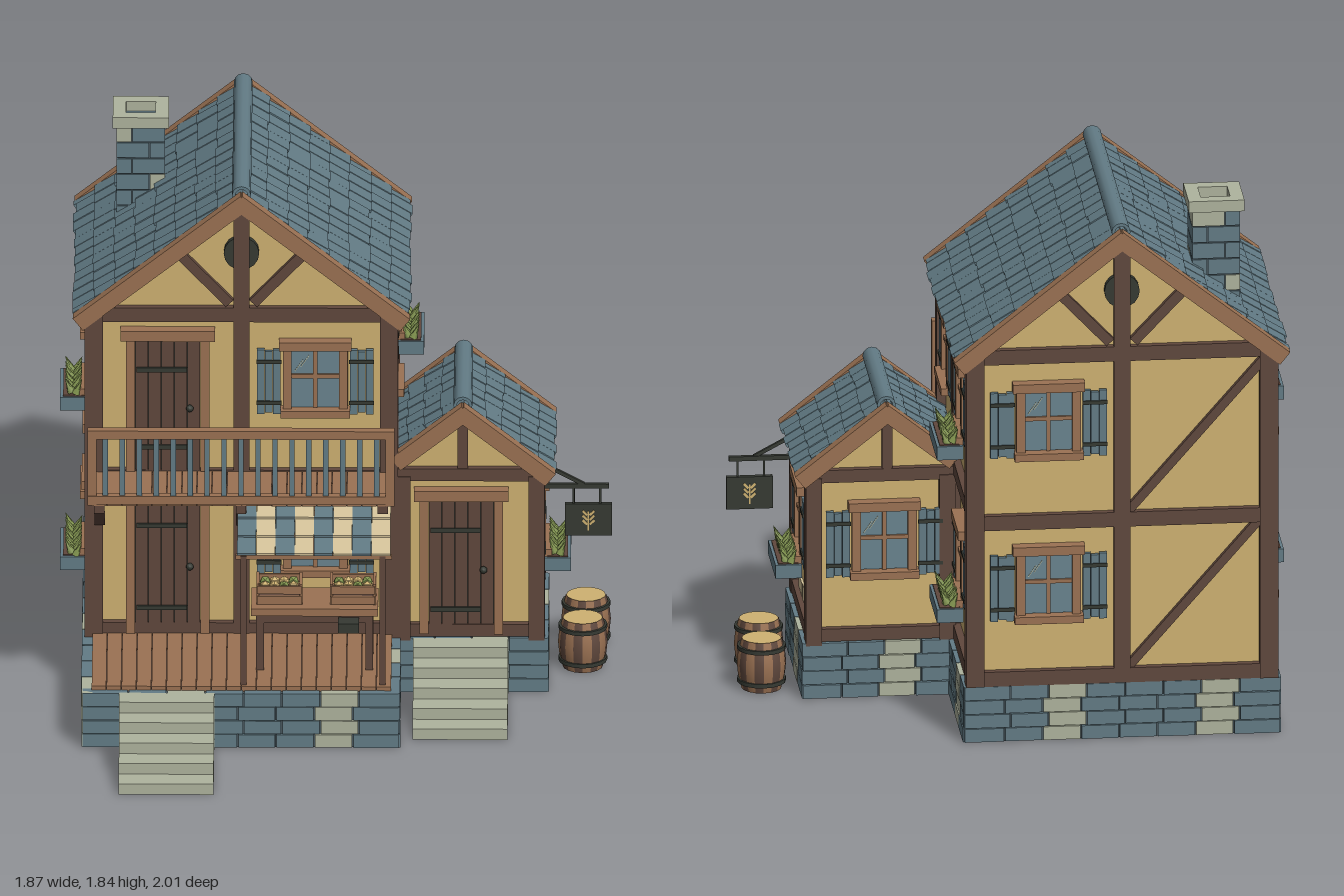
import * as THREE from 'three';
import { mergeGeometries } from 'three/addons/utils/BufferGeometryUtils.js';

const mat = (name, color, side = THREE.FrontSide) => {
  const m = new THREE.MeshStandardMaterial({ color, side });
  m.name = name;
  return m;
};

export function createModel() {
  const plaster = mat('plaster', 0xcfb272), timber = mat('darkTimber', 0x60483d), wood = mat('warmWood', 0x9b7253);
  const slate = mat('slate', 0x637c86, THREE.DoubleSide), pale = mat('paleStone', 0xafb49e), dark = mat('darkBase', 0x47555b);
  const iron = mat('iron', 0x363a33), green = mat('leaves', 0x82954f), cream = mat('cream', 0xd8c69c);
  const glass = mat('glass', 0x6a848f);
  const house = new THREE.Group();
  house.name = 'timberHouse';
  let seed = 7;
  const rnd = () => (seed = (seed * 16807) % 2147483647) / 2147483647;

  // Collects geometry by colour, then makes one merged mesh per colour in a named group
  function part(name, build, pos = [0, 0, 0], ry = 0) {
    const bins = new Map();
    const b = {
      add(m, geo, x = 0, y = 0, z = 0, rx = 0, ryy = 0, rz = 0) {
        const g = geo.index ? geo.toNonIndexed() : geo;
        g.applyMatrix4(new THREE.Matrix4().makeRotationFromEuler(new THREE.Euler(rx, ryy, rz)).setPosition(x, y, z));
        if (!bins.has(m)) bins.set(m, []);
        bins.get(m).push(g);
      },
      box(m, w, h, d, x, y, z, rx, ryy, rz) { b.add(m, new THREE.BoxGeometry(w, h, d), x, y, z, rx, ryy, rz); },
      // beam between two points of a plane at depth z
      beam(m, x0, y0, x1, y1, z, w, d) {
        b.box(m, Math.hypot(x1 - x0, y1 - y0), w, d, (x0 + x1) / 2, (y0 + y1) / 2, z, 0, 0, Math.atan2(y1 - y0, x1 - x0));
      },
    };
    build(b);
    const group = new THREE.Group();
    group.name = name;
    for (const [m, list] of bins) {
      const mesh = new THREE.Mesh(mergeGeometries(list), m);
      mesh.name = name + '_' + m.name;
      group.add(mesh);
    }
    group.position.set(...pos);
    group.rotation.y = ry;
    house.add(group);
  }

  // Stone foundation: dark core faced with four courses of blocks
  part('foundation', b => {
    b.box(dark, 1.055, 0.195, 1.55, -0.32, 0.0975, -0.2);
    b.box(dark, 0.5, 0.195, 0.55, 0.455, 0.0975, -0.2);
    const corners = [[-0.84, 0.565], [0.2, 0.565], [0.2, 0.07], [0.7, 0.07], [0.7, -0.47], [0.2, -0.47], [0.2, -0.965], [-0.84, -0.965]];
    corners.forEach(([x0, z0], i) => {
      const [x1, z1] = corners[(i + 1) % corners.length];
      const len = Math.hypot(x1 - x0, z1 - z0), n = Math.round(len / 0.135), ang = Math.atan2(-(z1 - z0), x1 - x0);
      for (let r = 0; r < 4; r++) {
        const edge = c => (c === 0 ? -0.018 : c === n ? len + 0.018 : c * len / n + (r % 2 - 0.5) * 0.02);
        for (let c = 0; c < n; c++) {
          const t = (edge(c) + edge(c + 1)) / 2 / len;
          b.box(c % 4 === 2 ? pale : slate, edge(c + 1) - edge(c) - 0.005, 0.047, 0.036 + rnd() * 0.008,
            x0 + (x1 - x0) * t, 0.025 + r * 0.05, z0 + (z1 - z0) * t, 0, ang, 0);
        }
      }
    });
  });

  // Two flights of stacked stone slabs
  for (const [x, z] of [[-0.57, 0.58], [0.423, 0.09]]) part('stoneSteps', b => {
    for (let i = 0; i < 5; i++) b.box(pale, 0.322, 0.039, 0.084 * (i + 1), x, 0.02 + 0.04 * (4 - i), z + 0.042 * (i + 1));
  });

  // Plank floors of the porch and the balcony
  const planks = (name, y, z0, z1, h) => part(name, b => {
    for (let i = 0; i < 20; i++) b.box(wood, 0.049, h, z1 - z0, -0.8 + i * 0.0508, y, (z0 + z1) / 2);
    b.box(timber, 1.0, h * 0.6, z1 - z0 - 0.02, -0.32, y - h * 0.3, (z0 + z1) / 2);
  });
  planks('porchDeck', 0.203, 0.06, 0.555, 0.02);
  planks('balconyFloor', 0.795, 0.06, 0.335, 0.024);

  // Plaster bodies with gabled ends
  function body(name, cx, half, shoulder, peak, z0, z1) {
    part(name, b => {
      const s = new THREE.Shape();
      [[-half, 0.19], [half, 0.19], [half, shoulder], [0, peak], [-half, shoulder]]
        .forEach(([x, y], i) => (i ? s.lineTo(cx + x, y) : s.moveTo(cx + x, y)));
      b.add(plaster, new THREE.ExtrudeGeometry(s, { depth: z1 - z0, bevelEnabled: false }), 0, 0, z0);
    });
  }
  body('mainWalls', -0.32, 0.5, 1.376, 1.772, -0.96, 0.06);
  body('annexWalls', 0.43, 0.25, 0.806, 1.004, -0.46, 0.06);

  // Timber framing
  part('mainFrame', b => {
    for (const z of [0.06, -0.96]) {
      for (const x of [-0.82, 0.18]) b.box(timber, 0.062, 1.18, 0.064, x, 0.79, z);
      b.box(timber, 0.055, 1.56, 0.056, -0.32, 0.98, z);
      for (const y of [0.225, 0.785, 1.38]) b.box(timber, 1.0, 0.052, 0.05, -0.32, y, z);
      for (const s of [-1, 1]) b.beam(timber, -0.32 + s * 0.21, 1.6, -0.32 + s * 0.04, 1.42, z, 0.035, 0.04);
      b.add(iron, new THREE.CylinderGeometry(0.06, 0.06, 0.046, 16), -0.32, 1.605, z, Math.PI / 2);
    }
    for (const x of [-0.82, 0.18]) {
      b.box(timber, 0.054, 1.16, 0.05, x, 0.78, -0.45);
      for (const y of [0.225, 0.815, 1.345]) b.box(timber, 0.05, 0.05, 1.0, x, y, -0.45);
    }
    for (const y of [0.25, 0.81]) b.beam(timber, -0.34, y, -0.8, y + 0.53, -0.965, 0.03, 0.03);
  });
  part('annexFrame', b => {
    for (const z of [0.06, -0.46]) {
      for (const x of [0.225, 0.68]) b.box(timber, 0.055, 0.6, 0.06, x, 0.49, z);
      for (const y of [0.225, 0.795]) b.box(timber, 0.49, 0.045, 0.05, 0.44, y, z);
      b.box(timber, 0.035, 0.18, 0.045, 0.43, 0.9, z);
    }
    for (const y of [0.225, 0.755]) b.box(timber, 0.05, 0.045, 0.5, 0.68, y, -0.2);
  });

  // Shingled roofs with sheathing, verge boards and a hollow ridge cap
  function roof(name, cx, peak, runs, a, z0, z1, rows, cols) {
    part(name, b => {
      const cz = (z0 + z1) / 2, len = z1 - z0, w = len / cols, ca = Math.cos(a), sa = Math.sin(a);
      [-1, 1].forEach((s, k) => {
        const L = runs[k] / ca, n = Math.round(rows * runs[k] / Math.max(...runs)), step = L / n;
        const at = (d, off) => [cx + s * (d * ca + off * sa), peak - d * sa + off * ca];
        const [sx, sy] = at(L / 2 + 0.004, -0.022);
        b.box(wood, L + 0.008, 0.025, len, sx, sy, cz, 0, 0, -s * a);
        for (const z of [z0 - 0.02, z1 + 0.02]) {
          const [vx, vy] = at(L / 2 + 0.005, -0.015);
          b.box(wood, L + 0.02, 0.055, 0.045, vx, vy, z, 0, 0, -s * a);
        }
        for (let r = 0; r < n; r++) for (let c = 0; c <= cols; c++) {
          const odd = r % 2, e0 = Math.max(z0, z0 + (c - odd / 2) * w), e1 = Math.min(z1, z0 + (c + 1 - odd / 2) * w);
          if (e1 - e0 < 0.01) continue;
          const [x, y] = at((r + 0.5) * step + rnd() * 0.012, rnd() * 0.003);
          b.box(slate, step + 0.016, 0.014, e1 - e0 - 0.004, x, y, (e0 + e1) / 2, 0, 0, -s * (a - 0.12));
        }
      });
      for (const r of [0.032, 0.021]) b.add(slate, new THREE.CylinderGeometry(r, r, len, 12, 1, true), cx, peak, cz, Math.PI / 2);
      for (const z of [z0, z1]) b.add(slate, new THREE.RingGeometry(0.021, 0.032, 12), cx, peak, z);
    });
  }
  roof('mainRoof', -0.32, 1.805, [0.552, 0.552], 0.67, -0.95, 0.05, 8, 13);
  roof('annexRoof', 0.43, 1.035, [0.225, 0.295], 0.67, -0.455, 0.05, 5, 7);

  // Chimney of stone courses with a hollow cap
  part('chimney', b => {
    b.box(dark, 0.155, 0.4, 0.155, -0.665, 1.59, -0.655);
    for (let r = 0; r < 7; r++) for (const sx of [-1, 1]) for (const sz of [-1, 1]) {
      const shift = r % 2 ? 0.03 : -0.03;
      b.box((r * 3 + sx + sz + 5) % 7 === 2 ? pale : slate, 0.083 - sx * shift - 0.003, 0.054, 0.08,
        -0.665 + (sx * 0.083 + shift) / 2, 1.42 + r * 0.058, -0.655 + sz * 0.0425);
    }
    for (const s of [-1, 1]) {
      b.box(pale, 0.19, 0.04, 0.045, -0.665, 1.815, -0.655 + s * 0.0725);
      b.box(pale, 0.045, 0.04, 0.1, -0.665 + s * 0.0725, 1.815, -0.655);
    }
    b.box(slate, 0.1, 0.01, 0.1, -0.665, 1.794, -0.655);
  });

  // Plank doors with frames, strap hinges and knob
  for (const [x, y, h] of [[-0.57, 0.215, 0.51], [-0.57, 0.81, 0.48], [0.425, 0.215, 0.49]]) part('door', b => {
    b.box(iron, 0.22, h, 0.02, 0, h / 2, 0);
    for (let i = 0; i < 5; i++) b.box(timber, 0.0425, h, 0.03, (i - 2) * 0.044, h / 2, 0.003);
    for (const s of [-1, 1]) b.box(wood, 0.03, h, 0.05, s * 0.126, h / 2, 0.005);
    b.box(wood, 0.32, 0.038, 0.06, 0, h + 0.019, 0.01);
    for (const t of [0.18, 0.77]) b.box(iron, 0.17, 0.016, 0.008, -0.02, h * t, 0.021);
    b.add(iron, new THREE.SphereGeometry(0.013, 8, 6), 0.075, h * 0.48, 0.028);
  }, [x, y, 0.065]);

  // Windows with shutters, some with a planted box below
  function windowUnit(x, y, z, ry, planted) {
    part('window', b => {
      b.box(glass, 0.17, 0.21, 0.02, 0, 0, 0.005);
      for (const s of [-1, 1]) {
        b.box(wood, 0.03, 0.23, 0.04, s * 0.095, 0, 0.01);
        for (let i = 0; i < 3; i++) b.box(slate, 0.026, 0.235 - (i % 2) * 0.012, 0.016, s * (0.13 + i * 0.0275), -0.01, 0.018);
        for (const v of [-0.085, 0.065]) b.box(iron, 0.084, 0.013, 0.006, s * 0.157, v, 0.028);
        b.box(pale, 0.003, 0.05, 0.002, -0.045 + s * 0.01, 0.055 + s * 0.008, 0.016, 0, 0, -0.6);
      }
      b.box(wood, 0.245, 0.032, 0.055, 0, 0.125, 0.015);
      b.box(wood, 0.235, 0.026, 0.065, 0, -0.12, 0.018);
      b.box(wood, 0.014, 0.21, 0.026, 0, 0, 0.01);
      b.box(wood, 0.17, 0.014, 0.026, 0, 0.01, 0.01);
      if (!planted) return;
      b.box(slate, 0.26, 0.048, 0.09, 0, -0.157, 0.07);
      b.box(timber, 0.24, 0.006, 0.07, 0, -0.132, 0.07);
      for (let i = 0; i < 18; i++) {
        const back = i % 2;
        b.add(green, new THREE.ConeGeometry(0.015, 0.055, 5), (i - 8.5) * 0.0135, -0.108 + rnd() * 0.012, back ? 0.052 : 0.088, back ? -0.4 : 0.4, i, 0);
      }
    }, [x, y, z], ry);
  }
  const Q = Math.PI / 2;
  for (const y of [0.56, 1.145]) {
    windowUnit(-0.07, y, 0.06, 0, false);
    windowUnit(-0.07, y, -0.96, Math.PI, false);
    windowUnit(-0.82, y, -0.2, -Q, true);
    windowUnit(-0.82, y, -0.7, -Q, false);
    windowUnit(0.18, y, -0.7, Q, true);
  }
  windowUnit(0.18, 1.145, -0.2, Q, false);
  windowUnit(0.68, 0.56, -0.2, Q, true);
  windowUnit(0.44, 0.56, -0.46, Math.PI, false);

  // Bare bricks showing through the plaster
  part('bareBricks', b => {
    for (const [z, w, h] of [[-0.1, 0.12, 0.045], [-0.21, 0.08, 0.055], [-0.28, 0.055, 0.035]]) b.box(cream, 0.012, h, w, 0.682, 0.25 + h / 2, z);
    for (const [z, y] of [[-0.56, 0.27], [-0.64, 0.27], [-0.56, 0.86]]) b.box(pale, 0.012, 0.04, 0.075, -0.822, y, z);
  });

  // Balcony railing and diagonal supports
  part('balconyRailing', b => {
    b.box(wood, 1.04, 0.03, 0.034, -0.32, 1.045, 0.325);
    b.box(wood, 1.04, 0.03, 0.03, -0.32, 0.805, 0.325);
    for (const x of [-0.825, 0.185]) b.box(wood, 0.03, 0.27, 0.028, x, 0.92, 0.325);
    for (let i = 0; i < 17; i++) b.box(slate, 0.018, 0.22, 0.018, -0.78 + i * 0.0575, 0.925, 0.325);
    for (const x of [-0.8, -0.32, 0.16]) {
      b.box(timber, 0.035, 0.03, 0.27, x, 0.77, 0.2);
      b.box(timber, 0.035, 0.026, 0.28, x, 0.695, 0.2, -0.56);
    }
  });

  // Striped awning in overlapping lengths on two posts
  part('awning', b => {
    for (let i = 0; i < 8; i++) for (let j = 0; j < 4; j++)
      b.box(i % 2 ? cream : slate, 0.064, 0.008, 0.118, -0.3 + i * 0.065, 0.699 + j * 0.019, 0.487 - j * 0.115, 0.1);
    for (const x of [-0.31, 0.16]) b.box(timber, 0.02, 0.475, 0.02, x, 0.447, 0.53);
    b.box(wood, 0.53, 0.014, 0.018, -0.072, 0.68, 0.53);
  });

  // Market table with crates of produce
  part('marketTable', b => {
    b.box(wood, 0.43, 0.026, 0.19, -0.07, 0.428, 0.325);
    for (const x of [-0.255, 0.115]) for (const z of [0.255, 0.395]) b.box(timber, 0.026, 0.21, 0.026, x, 0.31, z);
    b.box(timber, 0.38, 0.03, 0.014, -0.07, 0.4, 0.4);
    for (const x of [-0.19, 0.06]) {
      b.box(timber, 0.14, 0.03, 0.1, x, 0.456, 0.325);
      for (const s of [-1, 1]) {
        for (const y of [0.458, 0.495]) b.box(wood, 0.15, 0.028, 0.01, x, y, 0.325 + s * 0.055);
        b.box(wood, 0.01, 0.075, 0.11, x + s * 0.073, 0.478, 0.325);
      }
      for (let i = 0; i < 8; i++) b.add(i % 3 ? plaster : green, new THREE.IcosahedronGeometry(0.02, 0), x - 0.048 + (i % 4) * 0.032, 0.494, 0.303 + (i >> 2) * 0.044, i);
    }
    b.box(iron, 0.07, 0.035, 0.06, 0.045, 0.39, 0.44);
  });

  // Hanging plate with a grain sprig on an iron bracket
  part('hangingSign', b => {
    b.box(iron, 0.23, 0.016, 0.016, 0.81, 0.71, -0.03);
    b.beam(iron, 0.7, 0.79, 0.84, 0.715, -0.03, 0.012, 0.012);
    for (const x of [0.805, 0.895]) b.box(iron, 0.007, 0.07, 0.007, x, 0.675, -0.03);
    b.box(iron, 0.158, 0.115, 0.02, 0.855, 0.588, -0.03);
    b.box(plaster, 0.005, 0.07, 0.026, 0.855, 0.585, -0.03);
    for (let i = 0; i < 3; i++) for (const s of [-1, 1]) b.box(plaster, 0.022, 0.008, 0.026, 0.855 + s * 0.012, 0.58 + i * 0.017, -0.03, 0, 0, s * 0.8);
  });

  // Barrels of alternating staves
  for (const [x, z] of [[0.835, -0.15], [0.845, -0.35]]) part('barrel', b => {
    const profile = [[0.068, 0], [0.08, 0.05], [0.084, 0.09], [0.08, 0.13], [0.068, 0.18]].map(p => new THREE.Vector2(...p));
    for (let i = 0; i < 16; i++) b.add(i % 2 ? timber : wood, new THREE.LatheGeometry(profile, 1, i * Math.PI / 8, Math.PI / 8));
    b.add(plaster, new THREE.CylinderGeometry(0.067, 0.067, 0.176, 16), 0, 0.089, 0);
    for (const y of [0.03, 0.148]) b.add(iron, new THREE.CylinderGeometry(0.083, 0.083, 0.014, 16), 0, y, 0);
  }, [x, 0, z]);

  return house;
}
